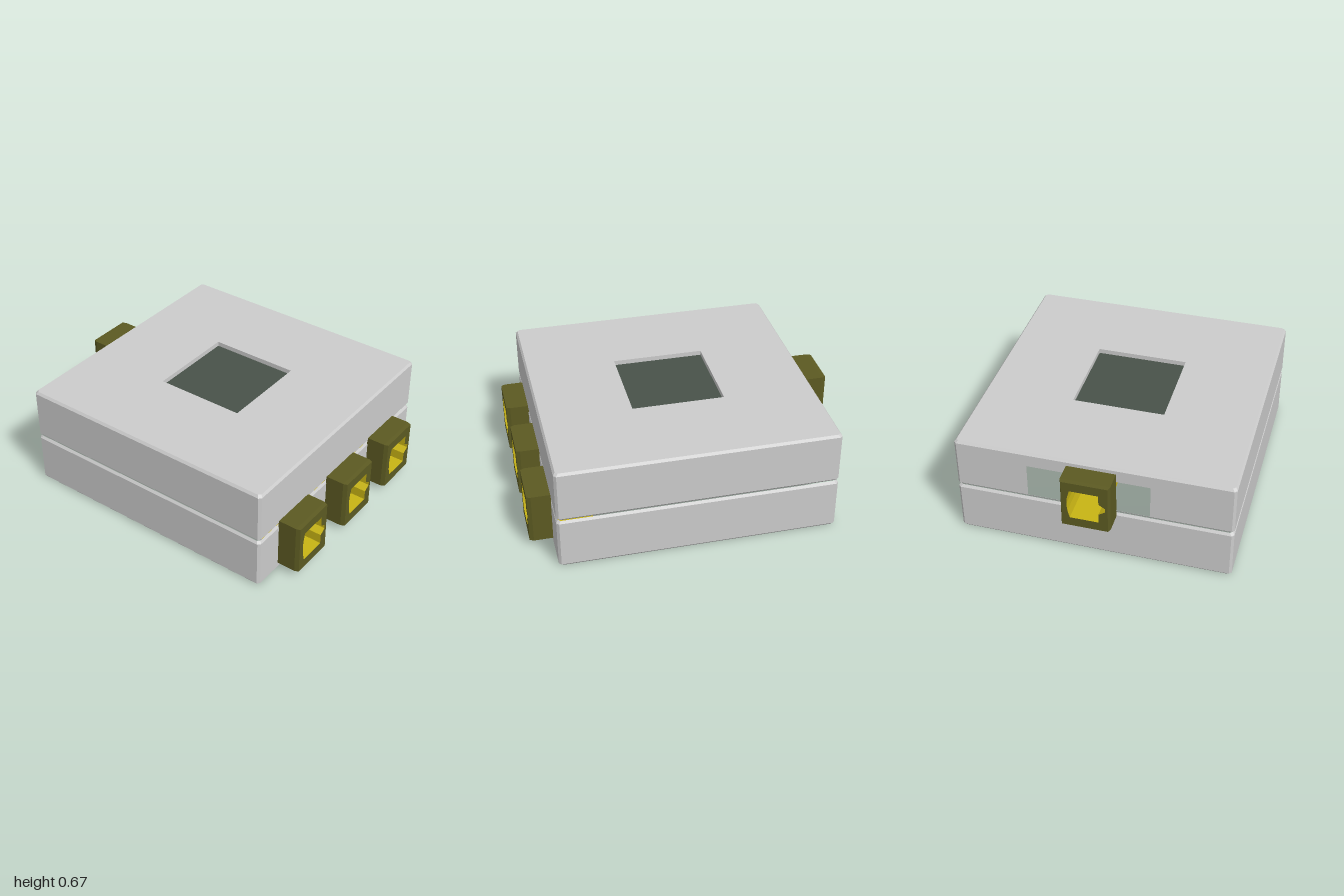
import * as THREE from 'three';

const grey = new THREE.MeshStandardMaterial({ color: 0xcccccc });
const olive = new THREE.MeshStandardMaterial({ color: 0x5c5a22 });
const yellow = new THREE.MeshStandardMaterial({ color: 0xc8b414 });
const dark = new THREE.MeshStandardMaterial({ color: 0x555555 });
const screenGreen = new THREE.MeshStandardMaterial({ color: 0x485249 });

const W = 0.858, D = 0.85, B = 0.015; // half width, half depth, chamfer

function add(parent, name, geometry, material) {
  const mesh = new THREE.Mesh(geometry, material);
  mesh.name = name;
  parent.add(mesh);
  return mesh;
}

// Flat-shaded skin between closed rings of [x, y, z] points; skip(ring, edge) leaves a wall out
function loft(rings, skip = () => false) {
  const pos = [];
  for (let r = 0; r < rings.length - 1; r++) {
    const n = rings[r].length;
    for (let i = 0; i < n; i++) {
      if (skip(r, i)) continue;
      const j = (i + 1) % n;
      const [a, b, c, d] = [rings[r][i], rings[r][j], rings[r + 1][j], rings[r + 1][i]];
      pos.push(...a, ...b, ...c, ...a, ...c, ...d);
    }
  }
  const g = new THREE.BufferGeometry();
  g.setAttribute('position', new THREE.Float32BufferAttribute(pos, 3));
  g.computeVertexNormals();
  return g;
}

const polygon = (pts) => pts.map(([x, y]) => new THREE.Vector2(x, y));
const rect = (x0, y0, x1, y1) => [[x0, y0], [x1, y0], [x1, y1], [x0, y1]];

function panel(outline, holes = []) {
  const s = new THREE.Shape(polygon(outline));
  holes.forEach((h) => s.holes.push(new THREE.Path(polygon(h))));
  return new THREE.ShapeGeometry(s);
}

// Plan outline with chamfered corners: front, right, back, left
function plan(inset) {
  const w = W - inset, d = D - inset;
  return [[-w + B, d], [w - B, d], [w, d - B], [w, -d + B],
    [w - B, -d], [-w + B, -d], [-w, -d + B], [-w, d - B]];
}

// Hollow housing half, with side walls added as panels where they are cut out
function housing(name, y0, y1, rightHoles, leftHoles) {
  const g = new THREE.Group();
  g.name = name;
  const levels = [[B * 0.8, y0], [0, y0 + B], [0, y1 - B], [B * 0.8, y1]];
  const rings = levels.map(([inset, y]) => plan(inset).map(([x, z]) => [x, y, z]));
  add(g, name + 'Walls', loft(rings, (r, i) => r === 1 && (i === 2 || i === 6)), grey);
  const wall = rect(-D + B, y0 + B, D - B, y1 - B);
  add(g, name + 'RightWall', panel(wall, rightHoles).rotateY(Math.PI / 2).translate(W, 0, 0), grey);
  add(g, name + 'LeftWall', panel(wall, leftHoles).rotateY(-Math.PI / 2).translate(-W, 0, 0), grey);
  return g;
}

// Socket facing +z: frame, keyed cavity and its floor
function socket(name) {
  const g = new THREE.Group();
  g.name = name;
  const hw = 0.15, hh = 0.162, front = 1, floor = 0.6;
  const at = (pts, z) => pts.map(([x, y]) => [x, y, z]);
  const outer = rect(-hw, -hh, hw, hh);
  const face = rect(-hw + 0.01, -hh + 0.002, hw - 0.01, hh - 0.002);
  const key = [[-0.09, -0.1], [0.085, -0.1], [0.085, -0.038], [0.125, -0.012], [0.125, 0.012],
    [0.085, 0.038], [0.085, 0.1], [-0.09, 0.1], [-0.103, 0.05], [-0.108, 0], [-0.103, -0.05]];
  add(g, 'socketFrame', loft([at(outer, W - 0.003), at(outer, 0.975), at(face, front)]), olive);
  add(g, 'socketFace', panel(face, [key]).translate(0, 0, front), olive);
  const inside = key.slice().reverse();
  add(g, 'socketCavity', loft([at(inside, floor), at(inside, front)]), yellow);
  add(g, 'socketFloor', panel(key).translate(0, 0, floor), dark);
  // Small keyed core on the cavity floor
  const core = [[-0.04, -0.045], [0.05, -0.045], [0.05, -0.015], [0.068, 0],
    [0.05, 0.015], [0.05, 0.045], [-0.04, 0.045]];
  add(g, 'socketCore', loft([at(core, floor), at(core, floor + 0.03)]), dark);
  add(g, 'socketCoreFace', panel(core).translate(0, 0, floor + 0.03), dark);
  return g;
}

export function createModel() {
  const model = new THREE.Group();
  model.name = 'controlBox';
  const portZ = [0.507, 0.003, -0.477];

  // Lower half with three openings on one side, closed underneath
  const openings = portZ.map((z) => rect(-z - 0.13, 0.09, -z + 0.13, 0.317));
  const lower = housing('lowerHousing', 0.003, 0.334, openings, []);
  add(lower, 'bottom', panel(plan(B * 0.8)).rotateX(Math.PI / 2).translate(0, 0.003, 0), grey);
  model.add(lower);

  // Upper half with a wide cutout behind the single socket
  const upper = housing('upperHousing', 0.34, 0.672, [], [rect(-0.4, 0.357, 0.35, 0.577)]);
  const s = 0.288, top = 0.672, depth = 0.03;
  const opening = rect(-s, -s, s, s);
  add(upper, 'top', panel(plan(B * 0.8), [opening]).rotateX(-Math.PI / 2).translate(0, top, 0), grey);
  model.add(upper);

  // Recessed screen
  const ring = (y) => opening.map(([x, z]) => [x, y, z]);
  add(model, 'screenRecess', loft([ring(top - depth), ring(top)]), grey);
  add(model, 'screen', panel(opening).rotateX(-Math.PI / 2).translate(0, top - depth, 0), screenGreen);

  // Sockets: three on the left, one on the right
  portZ.forEach((z, i) => {
    const port = socket('leftSocket' + (i + 1));
    port.rotation.y = Math.PI / 2;
    port.position.set(0, 0.207, z);
    model.add(port);
  });
  const single = socket('rightSocket');
  single.rotation.y = -Math.PI / 2;
  single.position.set(0, 0.472, -0.005);
  model.add(single);

  model.position.y = -0.003;
  return model;
}
